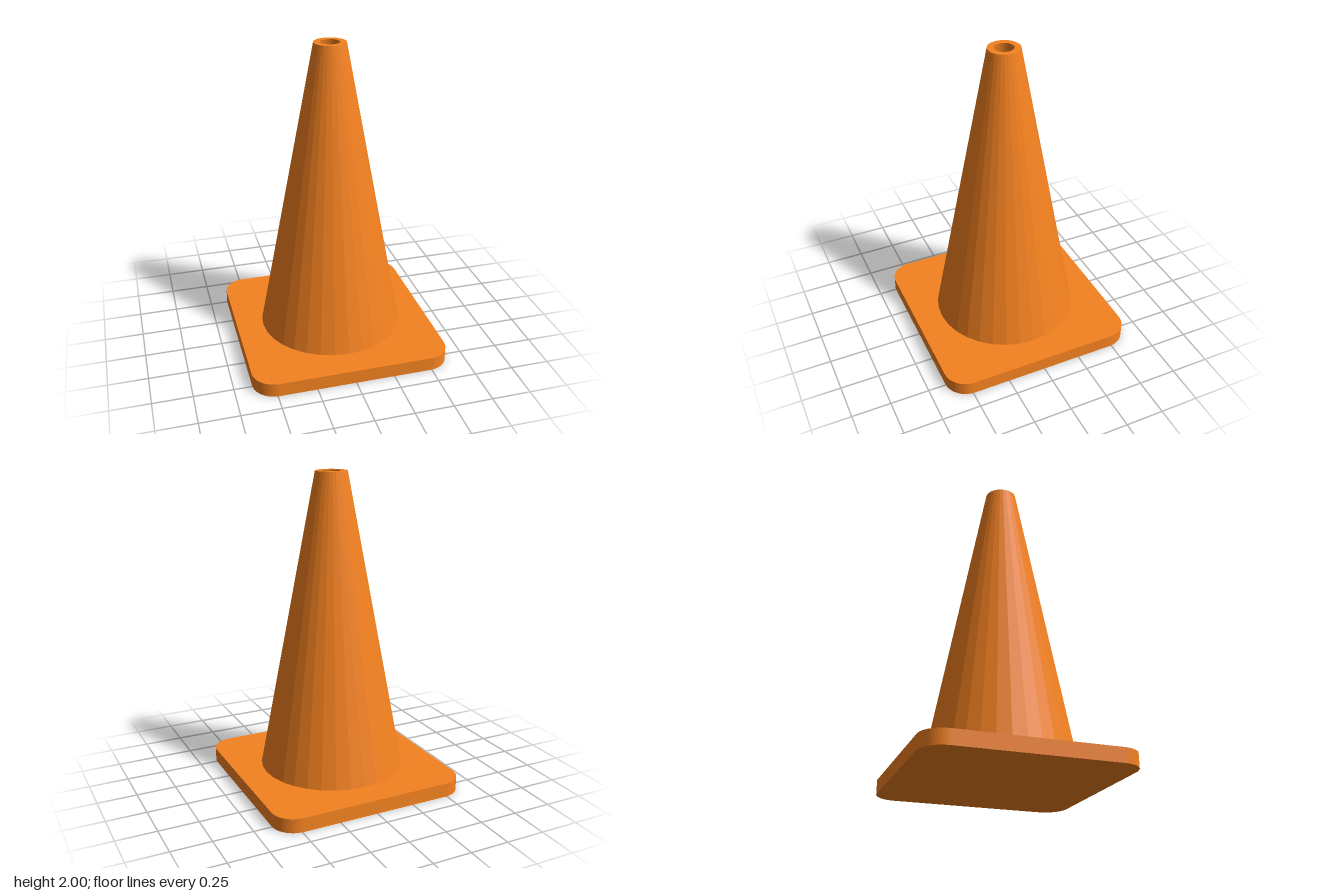
import * as THREE from 'three';

const ORANGE = 0xf58220;

// Square outline with rounded corners, centred on the origin
function roundedSquare(half, radius) {
  const c = half - radius;
  const shape = new THREE.Shape();
  for (let i = 0; i < 4; i++) {
    const start = (i * Math.PI) / 2;
    const sx = i === 0 || i === 3 ? 1 : -1;
    const sy = i < 2 ? 1 : -1;
    shape.absarc(sx * c, sy * c, radius, start, start + Math.PI / 2, false);
  }
  shape.closePath();
  return shape;
}

export function createModel() {
  const group = new THREE.Group();
  group.name = 'trafficCone';
  const material = new THREE.MeshStandardMaterial({ color: ORANGE, flatShading: true });

  // Flat base plate
  const baseGeometry = new THREE.ExtrudeGeometry(roundedSquare(0.635, 0.145), {
    depth: 0.09,
    bevelEnabled: false,
    curveSegments: 8,
  });
  baseGeometry.rotateX(-Math.PI / 2);
  const base = new THREE.Mesh(baseGeometry, material);
  base.name = 'base';
  group.add(base);

  // Hollow cone wall: undercut foot, outer slope, flat rim, inner slope
  const profile = [
    [0.42, 0.085],
    [0.463, 0.098],
    [0.1, 2],
    [0.06, 2],
    [0.42, 0.085],
  ].map(([r, y]) => new THREE.Vector2(r, y));
  const cone = new THREE.Mesh(new THREE.LatheGeometry(profile, 32), material);
  cone.name = 'cone';
  group.add(cone);

  return group;
}
